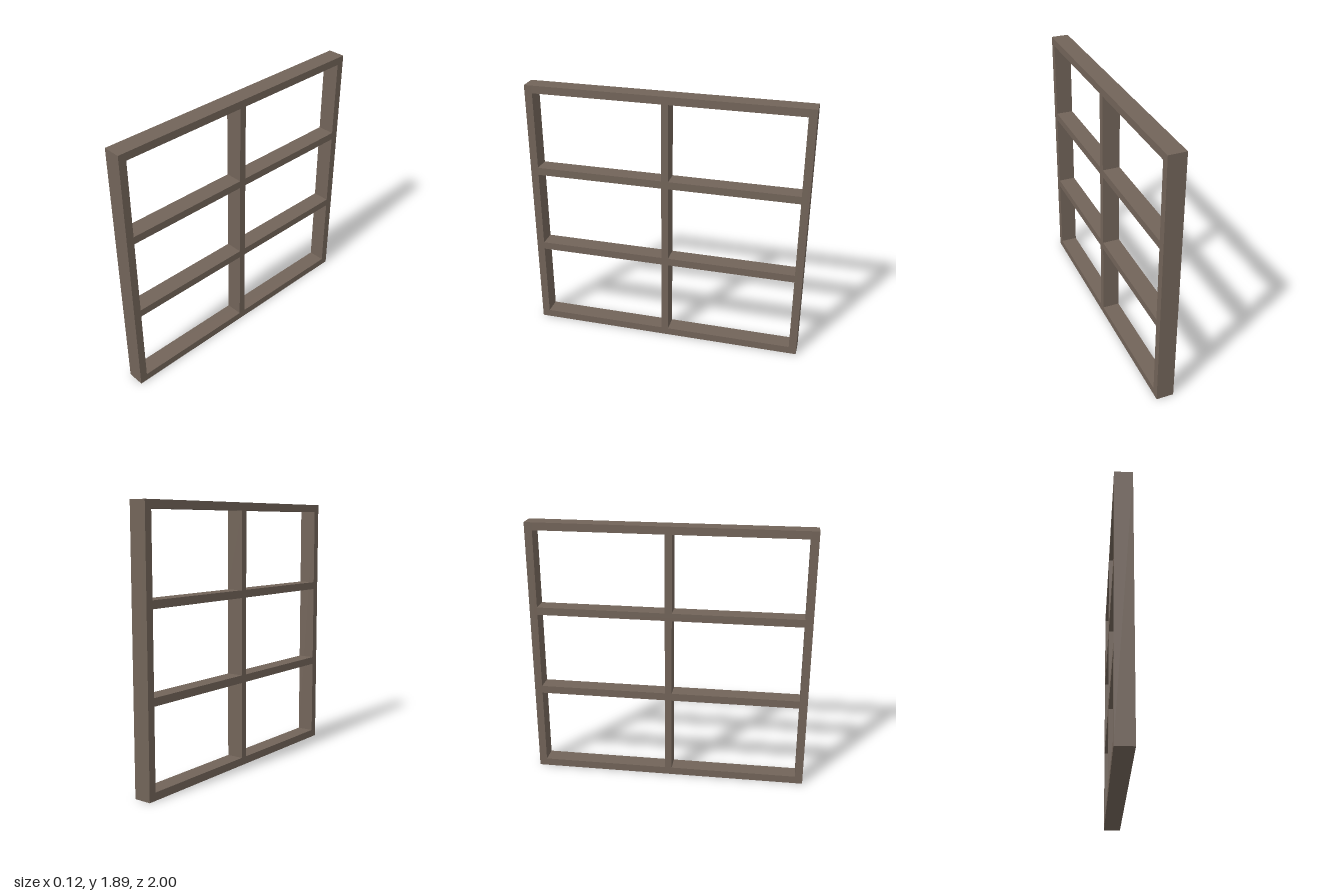
import * as THREE from 'three';

const HEIGHT = 1.89, WIDTH = 2, DEPTH = 0.125;
const BAR = 0.055;       // frame and rail thickness
const MULLION = 0.05;    // centre upright thickness
const ROWS = 3;

export function createModel() {
  const group = new THREE.Group();
  group.name = 'windowFrame';
  const wood = new THREE.MeshStandardMaterial({ color: 0x726459 });

  // A bar running the full depth, centred at height y and position z
  const addBar = (name, height, width, y, z) => {
    const mesh = new THREE.Mesh(new THREE.BoxGeometry(DEPTH, height, width), wood);
    mesh.name = name;
    mesh.position.set(0, y, z);
    group.add(mesh);
  };

  // Outer uprights
  for (const side of [1, -1]) {
    addBar(side > 0 ? 'frontStile' : 'backStile', HEIGHT, BAR, HEIGHT / 2, side * (WIDTH - BAR) / 2);
  }

  // Sill, two middle rails and head, fitted between the uprights
  const pitch = (HEIGHT - BAR) / ROWS;
  const names = ['bottomRail', 'lowerMiddleRail', 'upperMiddleRail', 'topRail'];
  names.forEach((name, i) => addBar(name, BAR, WIDTH - 2 * BAR, BAR / 2 + i * pitch, 0));

  // Centre upright, one piece per row of panes
  for (let i = 0; i < ROWS; i++) {
    addBar('mullion' + (i + 1), pitch - BAR, MULLION, BAR / 2 + (i + 0.5) * pitch, 0);
  }
  return group;
}
